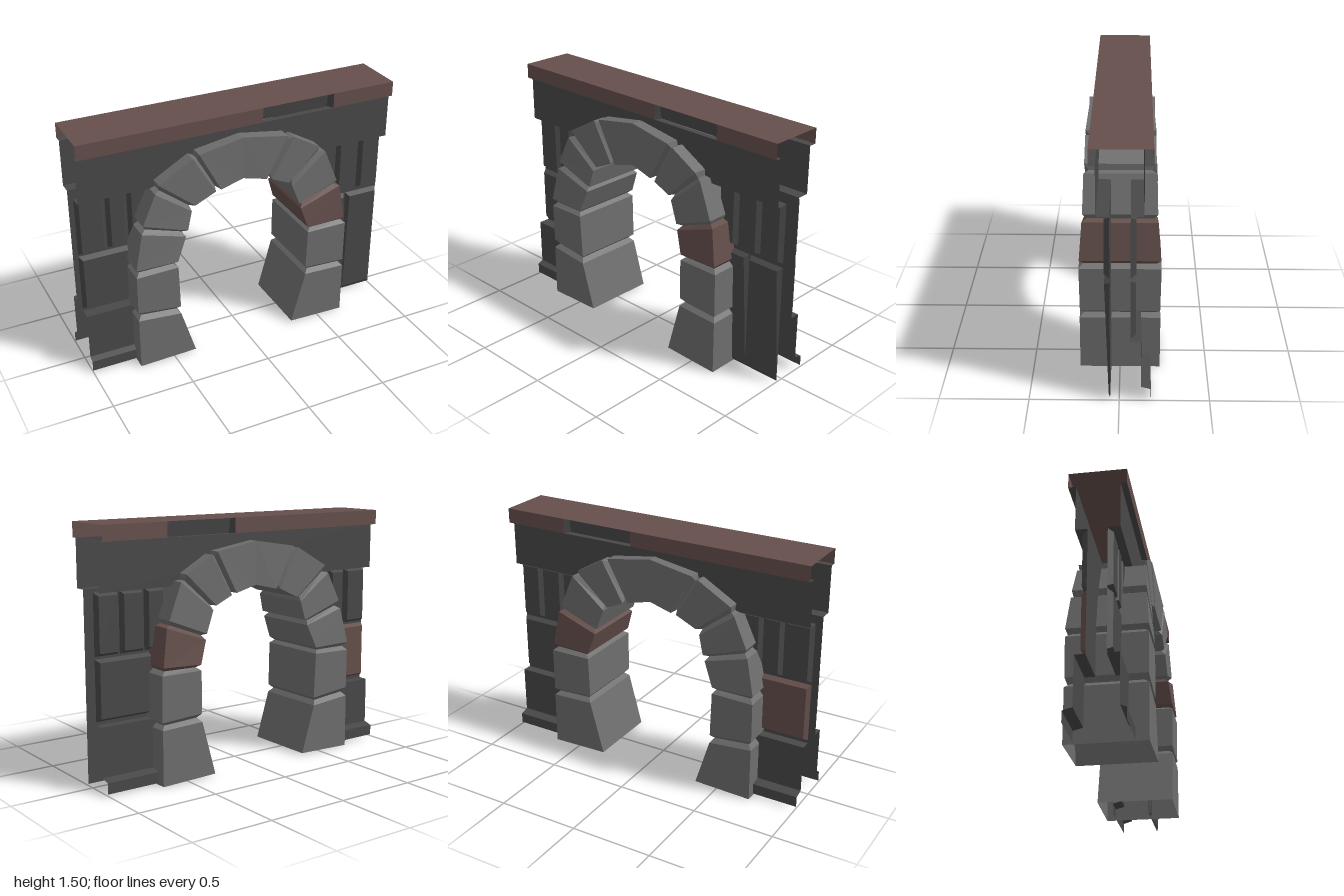
import * as THREE from 'three';

const paint = (color) => new THREE.MeshStandardMaterial({ color, flatShading: true, side: THREE.DoubleSide });

// Mesh from a list of four-cornered faces
function quadMesh(name, quads, material) {
  const pos = [];
  for (const [a, b, c, d] of quads) pos.push(...a, ...b, ...c, ...a, ...c, ...d);
  const geo = new THREE.BufferGeometry();
  geo.setAttribute('position', new THREE.Float32BufferAttribute(pos, 3));
  geo.computeVertexNormals();
  const mesh = new THREE.Mesh(geo, material);
  mesh.name = name;
  return mesh;
}

// Faces joining neighbouring closed loops
function loft(loops) {
  const quads = [];
  for (let i = 0; i + 1 < loops.length; i++) {
    const a = loops[i], b = loops[i + 1], n = a.length;
    for (let k = 0; k < n; k++) quads.push([a[k], a[(k + 1) % n], b[(k + 1) % n], b[k]]);
  }
  return quads;
}

// Turns faces to the other side of the wall when s = -1
const onSide = (quads, s) => s > 0 ? quads
  : quads.map((q) => q.map(([x, y, z]) => [x, y, -z]).reverse());

const rect = (x0, x1, y0, y1, z) => [[x0, y0, z], [x1, y0, z], [x1, y1, z], [x0, y1, z]];
const ledge = (x0, x1, y, z0, z1) => [[x0, y, z1], [x1, y, z1], [x1, y, z0], [x0, y, z0]];

// Raised wall slab with bevelled rim
function slab(x0, x1, y0, y1, z0, z1, b = 0.018) {
  const face = rect(x0 + b, x1 - b, y0 + b, y1 - b, z1);
  return [...loft([rect(x0, x1, y0, y1, z0), face]), face];
}

// Arch stones: sections of [outer x, outer y, inner x, inner y, half depth]
const STONES = [
  [[-0.72, 0, -0.36, 0.01, 0.23], [-0.72, 0.33, -0.45, 0.305, 0.23]],
  [[-0.72, 0.385, -0.45, 0.355, 0.228], [-0.72, 0.63, -0.46, 0.635, 0.232]],
  [[-0.72, 0.68, -0.46, 0.675, 0.232], [-0.67, 0.9, -0.4, 0.82, 0.215]],
  [[-0.66, 0.95, -0.385, 0.855, 0.212], [-0.575, 1.13, -0.355, 0.97, 0.203]],
  [[-0.55, 1.18, -0.33, 1.0, 0.2], [-0.34, 1.3, -0.2, 1.06, 0.2]],
  [[-0.3, 1.315, -0.165, 1.065, 0.2], [-0.02, 1.36, -0.02, 1.1, 0.19], [0.265, 1.315, 0.13, 1.065, 0.2]],
  [[0.305, 1.3, 0.165, 1.055, 0.2], [0.48, 1.2, 0.275, 1.005, 0.2]],
  [[0.52, 1.16, 0.3, 0.98, 0.203], [0.605, 0.95, 0.35, 0.85, 0.21]],
  [[0.625, 0.91, 0.36, 0.815, 0.213], [0.66, 0.69, 0.405, 0.68, 0.23]],
  [[0.67, 0.645, 0.405, 0.645, 0.232], [0.67, 0.375, 0.4, 0.39, 0.228]],
  [[0.67, 0.33, 0.4, 0.34, 0.23], [0.67, 0, 0.31, 0.01, 0.23]],
];

const sectionLoop = ([ox, oy, ix, iy, d]) => [[ox, oy, d], [ix, iy, d], [ix, iy, -d], [ox, oy, -d]];

// Sunken section halfway between two stones
function joint(a, b) {
  const [ox, oy, ix, iy, d] = a.map((v, k) => (v + b[k]) / 2);
  const t = 0.09;
  return [ox + (ix - ox) * t, oy + (iy - oy) * t, ix + (ox - ix) * t, iy + (oy - iy) * t, d - 0.025];
}

export function createModel() {
  const group = new THREE.Group();
  const stoneMat = paint(0x6e6e6e), wallMat = paint(0x484848), brownMat = paint(0x654f4c);

  // Arch
  const arch = new THREE.Group();
  arch.name = 'arch';
  STONES.forEach((stone, i) => {
    const prev = STONES[i - 1], next = STONES[i + 1], sections = [...stone];
    if (prev) sections.unshift(joint(prev[prev.length - 1], stone[0]));
    if (next) sections.push(joint(stone[stone.length - 1], next[0]));
    arch.add(quadMesh(`archStone${i + 1}`, loft(sections.map(sectionLoop)), i === 8 ? brownMat : stoneMat));
  });
  group.add(arch);

  // Walls, one open sheet on each side: base, upper band and cap depths
  for (const [side, s, base, band, cap] of [['front', 1, 0.05, 0.12, 0.155], ['back', -1, 0.06, 0.13, 0.175]]) {
    const add = (name, quads, mat) => group.add(quadMesh(side + name, onSide(quads, s), mat));
    const face = base + 0.03;

    // Upper band with its underside and the step below the cap
    add('UpperWall', [
      rect(-1, 1, 1.13, 1.41, band),
      ledge(-1, 1, 1.13, band, base),
      ledge(-1, 1, 1.41, cap, band),
    ], wallMat);

    for (const m of [-1, 1]) {
      const span = (a, b) => [Math.min(a * m, b * m), Math.max(a * m, b * m)];
      const sheet = span(0.55, 1);
      const name = m > 0 ? 'Left' : 'Right';
      const tall = s > 0 && m > 0;
      add(name + 'WallBase', [rect(...sheet, tall ? 0.01 : 0.38, 1.13, base)], wallMat);

      // Upper slabs
      const cuts = m > 0 ? [[0.55, 0.68], [0.69, 0.84], [0.85, 1]] : [[0.55, 0.69], [0.7, 0.82], [0.83, 1]];
      for (const [a, b] of cuts) add(name + 'UpperSlab', slab(...span(a, b), 0.77, 1.125, base, face), wallMat);

      if (tall) {
        // Two tall slabs thinning out towards the ground
        for (const [a, b] of [[0.6, 0.765], [0.775, 1]]) {
          const quads = slab(a, b, 0.015, 0.745, base, face)
            .map((q) => q.map(([x, y, z]) => [x, y, base + (z - base) * (0.25 + y)]));
          add(name + 'TallSlab', quads, wallMat);
        }
        continue;
      }
      // Middle slab, thick lower block and plinth
      const brown = s < 0 && m < 0;
      add(name + 'MiddleSlab', slab(...span(0.6, 1), 0.4, 0.755, base, face), brown ? brownMat : wallMat);
      add(name + 'LowerBlock', [
        rect(...sheet, 0.09, 0.38, 0.12),
        ledge(...sheet, 0.38, base, 0.12),
      ], wallMat);
      add(name + 'Plinth', [
        rect(...sheet, 0.01, 0.075, cap),
        [[sheet[0], 0.075, cap], [sheet[1], 0.075, cap], [sheet[1], 0.09, 0.12], [sheet[0], 0.09, 0.12]],
      ], wallMat);
    }

    // Cap edge with a broken-out stretch
    add('CapEdge', [rect(-1, 0.12, 1.41, 1.5, cap), rect(0.59, 1, 1.41, 1.5, cap)], brownMat);
    const top = cap - 0.025, low = cap - 0.04;
    add('CapBreak', [
      [[0.14, 1.41, low], [0.565, 1.41, low], [0.565, 1.5, top], [0.14, 1.5, top]],
      [[0.12, 1.41, cap], [0.14, 1.41, low], [0.14, 1.5, top], [0.12, 1.5, cap]],
      [[0.565, 1.41, low], [0.59, 1.41, cap], [0.59, 1.5, cap], [0.565, 1.5, top]],
    ], wallMat);
  }

  // Cap top
  group.add(quadMesh('capTop', [[[-1, 1.5, 0.155], [1, 1.5, 0.155], [1, 1.5, -0.175], [-1, 1.5, -0.175]]], brownMat));
  return group;
}
